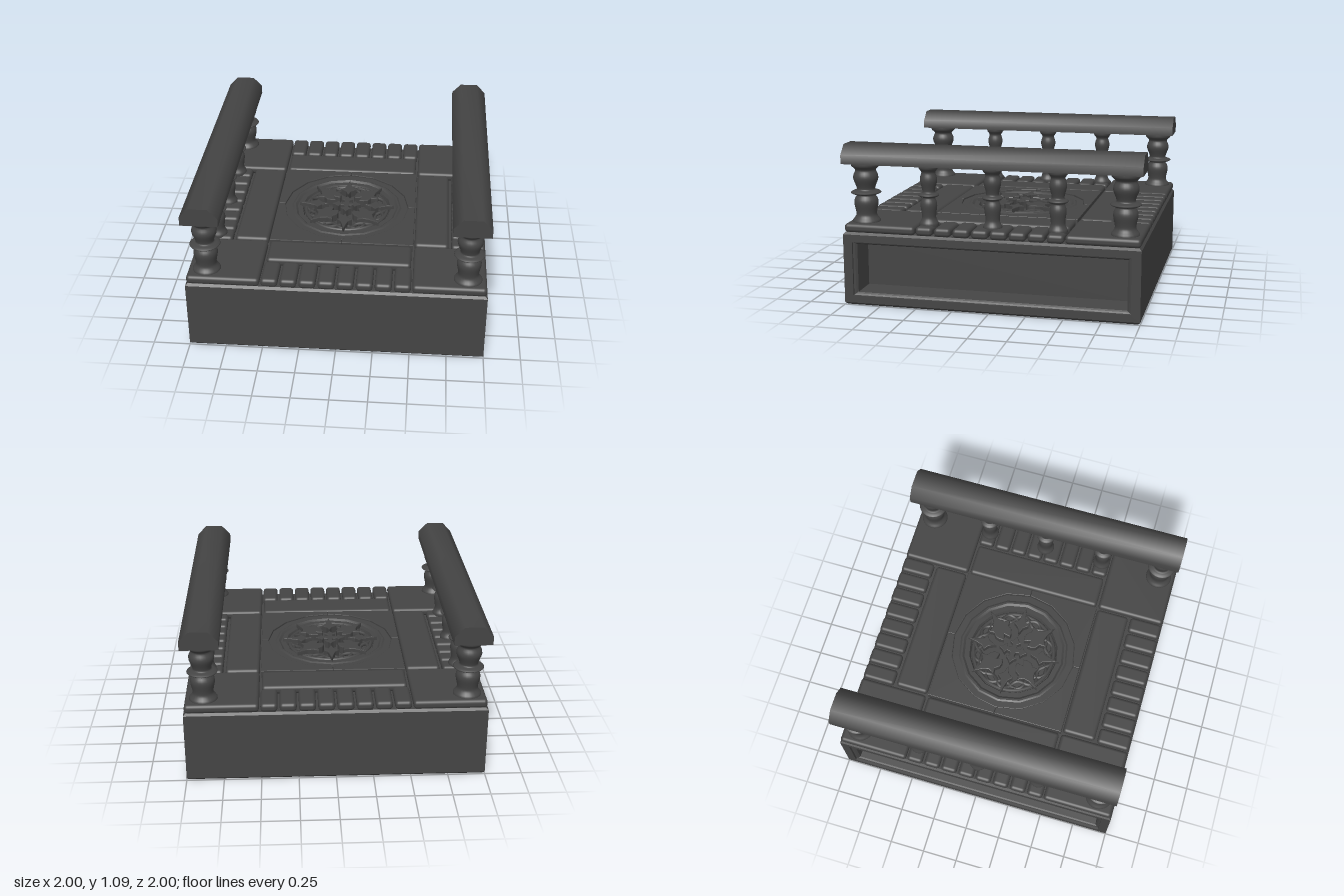
import * as THREE from 'three';
import { RoundedBoxGeometry } from 'three/addons/geometries/RoundedBoxGeometry.js';
import { toCreasedNormals } from 'three/addons/utils/BufferGeometryUtils.js';

// Dark charcoal stone
const material = new THREE.MeshStandardMaterial({ color: 0x444444 });

function add(parent, name, geometry, x = 0, y = 0, z = 0) {
  const mesh = new THREE.Mesh(geometry, material);
  mesh.name = name;
  mesh.position.set(x, y, z);
  parent.add(mesh);
}

// Group holding copies of a builder's parts turned about the vertical axis
function radial(parent, name, count, offset, build) {
  const group = new THREE.Group();
  group.name = name;
  for (let i = 0; i < count; i++) {
    const copy = new THREE.Group();
    copy.name = name + 'Section';
    copy.rotation.y = offset + (i * Math.PI * 2) / count;
    build(copy);
    group.add(copy);
  }
  parent.add(group);
}

// Outline in plan, extruded upwards between two heights with a bevelled edge
function relief(points, y0, y1, bevel) {
  const shape = new THREE.Shape(points.map(([x, y]) => new THREE.Vector2(x, y)));
  const geometry = new THREE.ExtrudeGeometry(shape, {
    depth: y1 - y0 - bevel * 2, bevelEnabled: true, bevelThickness: bevel,
    bevelSize: bevel, bevelOffset: -bevel, bevelSegments: 2,
  });
  geometry.rotateX(-Math.PI / 2);
  geometry.translate(0, y0 + bevel, 0);
  return toCreasedNormals(geometry, 0.3);
}

// Plinth lofted along x through chamfered rectangles, with a recess in each side
function plinthGeometry() {
  // x, half width in z, bottom, top, corner chamfer
  const half = [
    [0.8, 0.902, 0.093, 0.407, 0.001],
    [0.97, 0.912, 0.083, 0.417, 0.001],
    [0.98, 0.925, 0.075, 0.425, 0.001],
    [0.985, 0.938, 0.065, 0.435, 0.001],
    [1, 0.938, 0.065, 0.435, 0.001],
    [1, 1, 0.015, 0.485, 0.001],
    [0.985, 1, 0, 0.5, 0.015],
  ];
  const sections = [...half, ...half.map(([x, ...rest]) => [-x, ...rest]).reverse()];
  const positions = [];
  for (const [x, w, lo, hi, c] of sections) {
    const ring = [[w - c, hi], [c - w, hi], [-w, hi - c], [-w, lo + c],
      [c - w, lo], [w - c, lo], [w, lo + c], [w, hi - c]];
    for (const [z, y] of ring) positions.push(x, y, z);
  }
  const index = [];
  const last = (sections.length - 1) * 8;
  for (let s = 0; s < last; s += 8) {
    for (let i = 0; i < 8; i++) {
      const a = s + i, b = s + ((i + 1) % 8);
      index.push(a, b, a + 8, b, b + 8, a + 8);
    }
  }
  for (let i = 1; i < 7; i++) {
    index.push(0, i + 1, i, last, last + i, last + i + 1);
  }
  const geometry = new THREE.BufferGeometry();
  geometry.setAttribute('position', new THREE.Float32BufferAttribute(positions, 3));
  geometry.setIndex(index);
  const flat = geometry.toNonIndexed();
  flat.computeVertexNormals();
  return flat;
}

// One quarter of the paving: corner slab, border slab, brick row, centre panel
function paving(parent) {
  const h = 0.06, y = 0.527, r = 0.024;
  add(parent, 'cornerSlab', new RoundedBoxGeometry(0.488, h, 0.488, 3, r), 0.75, y, 0.75);
  add(parent, 'borderSlab', new RoundedBoxGeometry(0.98, h, 0.235, 3, r), 0, y, 0.625);
  const brick = new RoundedBoxGeometry(0.112, h, 0.232, 3, r);
  for (let i = 0; i < 8; i++) add(parent, 'brick', brick, -0.441 + i * 0.126, y, 0.877);

  const outline = [[0.45, 0.001], [0.498, 0.001], [0.498, 0.498], [0.001, 0.498], [0.001, 0.45]];
  for (let i = 3; i > 0; i--) {
    const a = (i * Math.PI) / 8;
    outline.push([0.45 * Math.cos(a), 0.45 * Math.sin(a)]);
  }
  add(parent, 'centrePanel', relief(outline, 0.495, 0.555, 0.004));
}

// Carved round ornament in the middle of the floor
function medallion(parent) {
  const profile = [[0.46, 0.535], [0.445, 0.545], [0.4, 0.545], [0.388, 0.552], [0.375, 0.552],
    [0.36, 0.54], [0.325, 0.54], [0.315, 0.515], [0, 0.515]];
  const dish = new THREE.LatheGeometry(profile.map(([r, y]) => new THREE.Vector2(r, y)), 16);
  add(parent, 'medallionDish', toCreasedNormals(dish, 0.45));

  const hoop = new THREE.TorusGeometry(0.295, 0.014, 8, 48).rotateX(Math.PI / 2);
  add(parent, 'medallionHoop', hoop, 0, 0.527, 0);

  // Two wavy bands woven in opposite phase
  for (const phase of [0, Math.PI]) {
    const path = [];
    for (let i = 0; i < 64; i++) {
      const a = (i * Math.PI) / 32;
      const r = 0.26 + 0.028 * Math.cos(8 * a + phase);
      path.push(new THREE.Vector3(r * Math.cos(a), 0.53 + 0.006 * Math.sin(8 * a), r * Math.sin(a)));
    }
    const curve = new THREE.CatmullRomCurve3(path, true);
    add(parent, 'wovenBand', new THREE.TubeGeometry(curve, 128, 0.013, 6, true));
  }

  const spike = relief([[0.13, 0], [0.18, -0.018], [0.21, -0.055], [0.235, -0.028], [0.28, -0.014],
    [0.345, 0], [0.28, 0.014], [0.235, 0.028], [0.21, 0.055], [0.18, 0.018]], 0.51, 0.568, 0.005);
  radial(parent, 'starPoint', 4, 0, (g) => add(g, 'spike', spike));

  const petal = relief([[0.14, 0], [0.1, -0.025], [0.12, -0.05], [0.15, -0.065], [0.185, -0.06],
    [0.215, -0.09], [0.23, -0.045], [0.265, -0.022], [0.345, 0], [0.265, 0.022], [0.23, 0.045],
    [0.215, 0.09], [0.185, 0.06], [0.15, 0.065], [0.12, 0.05], [0.1, 0.025]], 0.51, 0.57, 0.006);
  radial(parent, 'petals', 4, Math.PI / 4, (g) => add(g, 'petal', petal));

  const arm = [[0.02, -0.02], [0.045, -0.015], [0.06, -0.04], [0.075, -0.02], [0.105, 0],
    [0.075, 0.02], [0.06, 0.04], [0.045, 0.015]];
  const cross = [];
  for (let i = 0; i < 4; i++) {
    const c = Math.round(Math.cos((i * Math.PI) / 2)), s = Math.round(Math.sin((i * Math.PI) / 2));
    for (const [u, v] of arm) cross.push([u * c - v * s, u * s + v * c]);
  }
  add(parent, 'centreCross', relief(cross, 0.51, 0.57, 0.004));
}

// Turned baluster: rounded vase shapes either side of a thin collar
function balusterGeometry(scale) {
  const profile = [[0.093, 0.545], [0.093, 0.565], [0.078, 0.585], [0.069, 0.605], [0.072, 0.635],
    [0.081, 0.68], [0.077, 0.71], [0.062, 0.738], [0.084, 0.744], [0.102, 0.755], [0.084, 0.766],
    [0.062, 0.774], [0.066, 0.8], [0.083, 0.845], [0.081, 0.875], [0.068, 0.905], [0.08, 0.922],
    [0.096, 0.938], [0.096, 0.965]];
  const curve = new THREE.SplineCurve(profile.map(([r, y]) => new THREE.Vector2(r * scale, y)));
  return new THREE.LatheGeometry(curve.getPoints(54), 24);
}

function railing(parent, side) {
  const group = new THREE.Group();
  group.name = side > 0 ? 'leftRailing' : 'rightRailing';
  group.position.x = side * 0.875;
  parent.add(group);

  // Handrail with a softly shaded chamfered top
  const section = new THREE.Shape([[-0.125, 0.96], [0.125, 0.96], [0.125, 1.02], [0.062, 1.085],
    [-0.062, 1.085], [-0.125, 1.02]].map(([x, y]) => new THREE.Vector2(x, y)));
  const rail = new THREE.ExtrudeGeometry(section, { depth: 2, bevelEnabled: false });
  add(group, 'handrail', toCreasedNormals(rail, 0.85), 0, 0, -1);

  // Thick posts at the ends, slimmer balusters between
  const post = balusterGeometry(1), slim = balusterGeometry(0.68);
  const inset = -side * 0.005;
  for (const z of [-0.877, 0.877]) add(group, 'endPost', post, inset, 0, z);
  for (const z of [-0.437, 0, 0.437]) add(group, 'baluster', slim, inset, 0, z);
}

export function createModel() {
  const model = new THREE.Group();
  model.name = 'balustradedPlatform';
  add(model, 'plinth', plinthGeometry());
  radial(model, 'paving', 4, 0, paving);
  const ornament = new THREE.Group();
  ornament.name = 'medallion';
  model.add(ornament);
  medallion(ornament);
  for (const side of [1, -1]) railing(model, side);
  return model;
}
